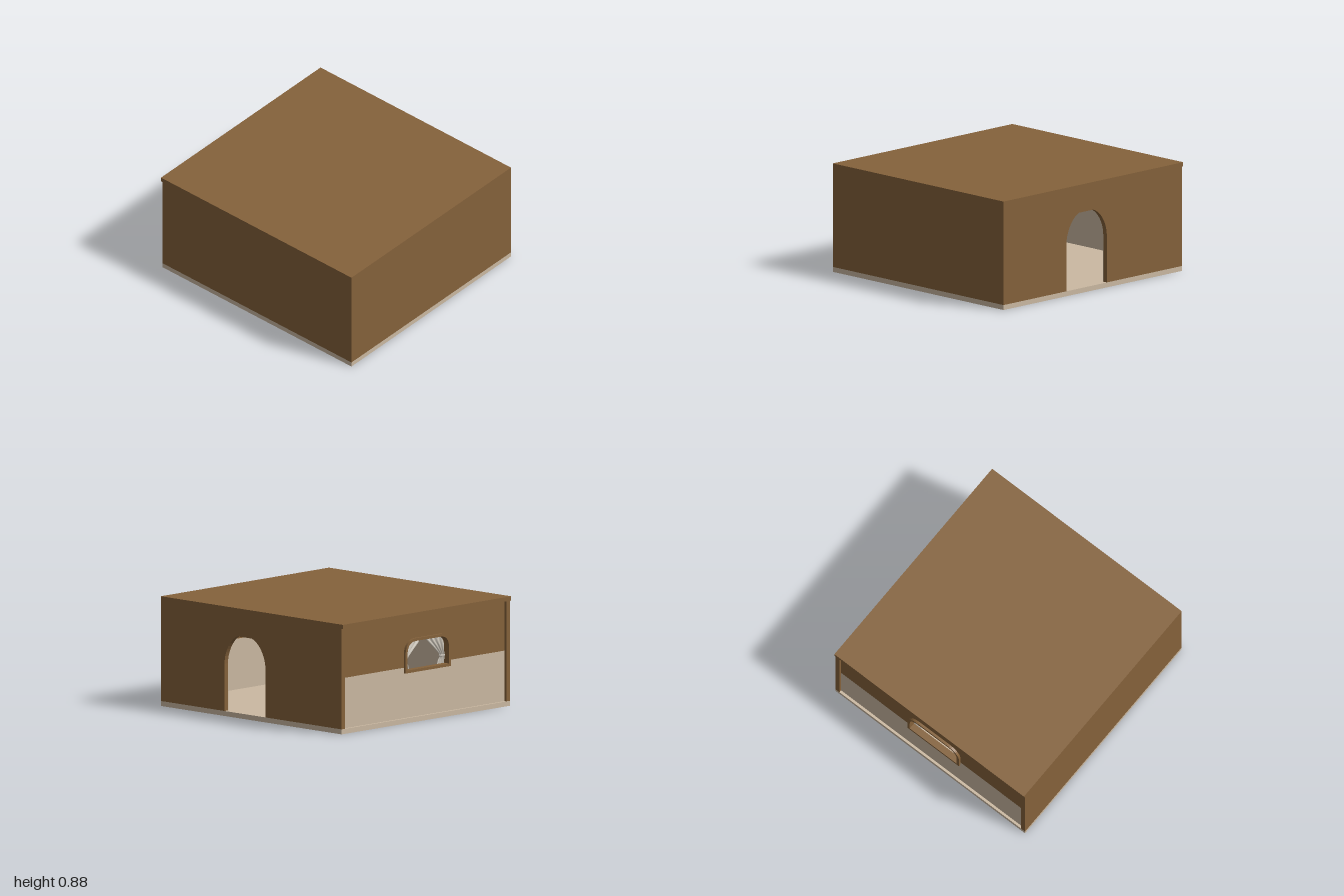
import * as THREE from 'three';

const mat = (name, color) => {
  const m = new THREE.MeshStandardMaterial({ color });
  m.name = name;
  return m;
};

export function createModel() {
  const room = new THREE.Group();
  room.name = 'room';
  const brown = mat('brown plaster', 0x85623b);
  const cream = mat('cream', 0xcbb9a2);
  const cloth = mat('curtain cloth', 0xd3ccc0);
  cloth.side = THREE.DoubleSide;

  const add = (name, geo, material) => {
    const mesh = new THREE.Mesh(geo, material);
    mesh.name = name;
    room.add(mesh);
    return mesh;
  };
  // Box given by its lower and upper limits on each axis
  const box = (name, material, x0, x1, y0, y1, z0, z1) =>
    add(name, new THREE.BoxGeometry(x1 - x0, y1 - y0, z1 - z0), material)
      .position.set((x0 + x1) / 2, (y0 + y1) / 2, (z0 + z1) / 2);
  const extrude = (shape, depth) =>
    new THREE.ExtrudeGeometry(shape, { depth, bevelEnabled: false, curveSegments: 10 });
  const polygon = (pts) => new THREE.Shape(pts.map(([x, y]) => new THREE.Vector2(x, y)));

  const X = 0.96, T = 0.04, FLOOR = 0.04, CEIL = 0.845, TOP = 0.88, SPLIT = 0.445;
  const BACK = -0.985, IN = X - T;

  // Floor and roof slabs
  box('floor', cream, -X, X, 0, FLOOR, BACK, 1);
  box('roof', brown, -X, X, CEIL, TOP, -1, 1);

  // Front and plain side wall
  box('frontWall', brown, -X, X, FLOOR, CEIL, 1 - T, 1);
  box('rightWall', brown, -X, -IN, FLOOR, CEIL, BACK, 1 - T);

  // Side wall with an arched doorway (shape drawn with u = -z)
  const door = polygon([[1 - T, CEIL], [T - 1, CEIL], [T - 1, FLOOR], [-0.3, FLOOR], [-0.3, 0.42]].map(([u, y]) => [u, y]));
  door.bezierCurveTo(-0.3, 0.52, -0.235, 0.625, -0.16, 0.655);
  door.lineTo(0, 0.655);
  door.bezierCurveTo(0.085, 0.625, 0.15, 0.52, 0.15, 0.42);
  door.lineTo(0.15, FLOOR);
  door.lineTo(-BACK, FLOOR);
  door.lineTo(-BACK, CEIL);
  const doorGeo = extrude(door, T);
  doorGeo.rotateY(Math.PI / 2);
  add('doorwayWall', doorGeo, brown).position.x = IN;

  // Thin cream wainscot on the inner faces
  const P = 0.006;
  box('rightWainscot', cream, -IN, -IN + P, FLOOR, SPLIT, -0.93, 1 - T);
  box('frontWainscot', cream, -IN, IN, FLOOR, SPLIT, 1 - T - P, 1 - T);
  box('doorWainscotFront', cream, IN - P, IN, FLOOR, SPLIT, 0.3, 1 - T);
  box('doorWainscotBack', cream, IN - P, IN, FLOOR, SPLIT, -0.93, -0.15);

  // Back wall in two tones, cut around the window
  const L = -0.29, R = 0.23, B = 0.40, H = 0.67, S = 0.54, C = 0.12;
  const lower = polygon([[-IN, FLOOR], [IN, FLOOR], [IN, SPLIT], [R, SPLIT], [R, B], [L, B], [L, SPLIT], [-IN, SPLIT]]);
  const upper = polygon([[-IN, CEIL], [-IN, SPLIT], [L, SPLIT], [L, S]]);
  upper.bezierCurveTo(L, S + 0.09, L + 0.05, H, L + C, H);
  upper.lineTo(R - C, H);
  upper.bezierCurveTo(R - 0.05, H, R, S + 0.09, R, S);
  upper.lineTo(R, SPLIT);
  upper.lineTo(IN, SPLIT);
  upper.lineTo(IN, CEIL);
  add('backWallLower', extrude(lower, 0.035), cream).position.z = -0.965;
  add('backWallUpper', extrude(upper, 0.035), brown).position.z = -0.965;

  // Window frame
  const outline = (shape, g) => {
    shape.moveTo(L + g, B + g);
    shape.lineTo(R - g, B + g);
    shape.lineTo(R - g, S);
    shape.bezierCurveTo(R - g, S + 0.09 - g / 2, R - 0.05 - g / 2, H - g, R - C, H - g);
    shape.lineTo(L + C, H - g);
    shape.bezierCurveTo(L + 0.05 + g / 2, H - g, L + g, S + 0.09 - g / 2, L + g, S);
    shape.lineTo(L + g, B + g);
    return shape;
  };
  const frame = outline(new THREE.Shape(), 0);
  frame.holes.push(outline(new THREE.Path(), 0.022));
  add('windowFrame', extrude(frame, 0.055), brown).position.z = -0.985;

  // Pair of tied-back curtains, each a pleated sheet of varying width
  const widths = [[0.66, 0.23], [0.62, 0.2], [0.57, 0.14], [0.52, 0.085], [0.485, 0.055], [0.45, 0.08], [0.405, 0.095]];
  for (const side of [-1, 1]) {
    const edge = side < 0 ? L + 0.01 : R - 0.01;
    const geo = new THREE.PlaneGeometry(1, 1, 16, widths.length - 1);
    const p = geo.attributes.position;
    for (let i = 0; i < p.count; i++) {
      const [y, w] = widths[Math.floor(i / 17)];
      const t = (i % 17) / 16;
      p.setXYZ(i, edge - side * w * t, y, -0.925 + 0.008 * Math.sin(t * Math.PI * 8));
    }
    geo.computeVertexNormals();
    const name = side < 0 ? 'right' : 'left';
    add(name + 'Curtain', geo, cloth);
    const tie = add(name + 'CurtainTie', new THREE.TorusGeometry(0.03, 0.007, 6, 16), cloth);
    tie.rotation.x = Math.PI / 2;
    tie.scale.y = 0.5;
    tie.position.set(edge - side * 0.029, 0.485, -0.925);
  }
  return room;
}
